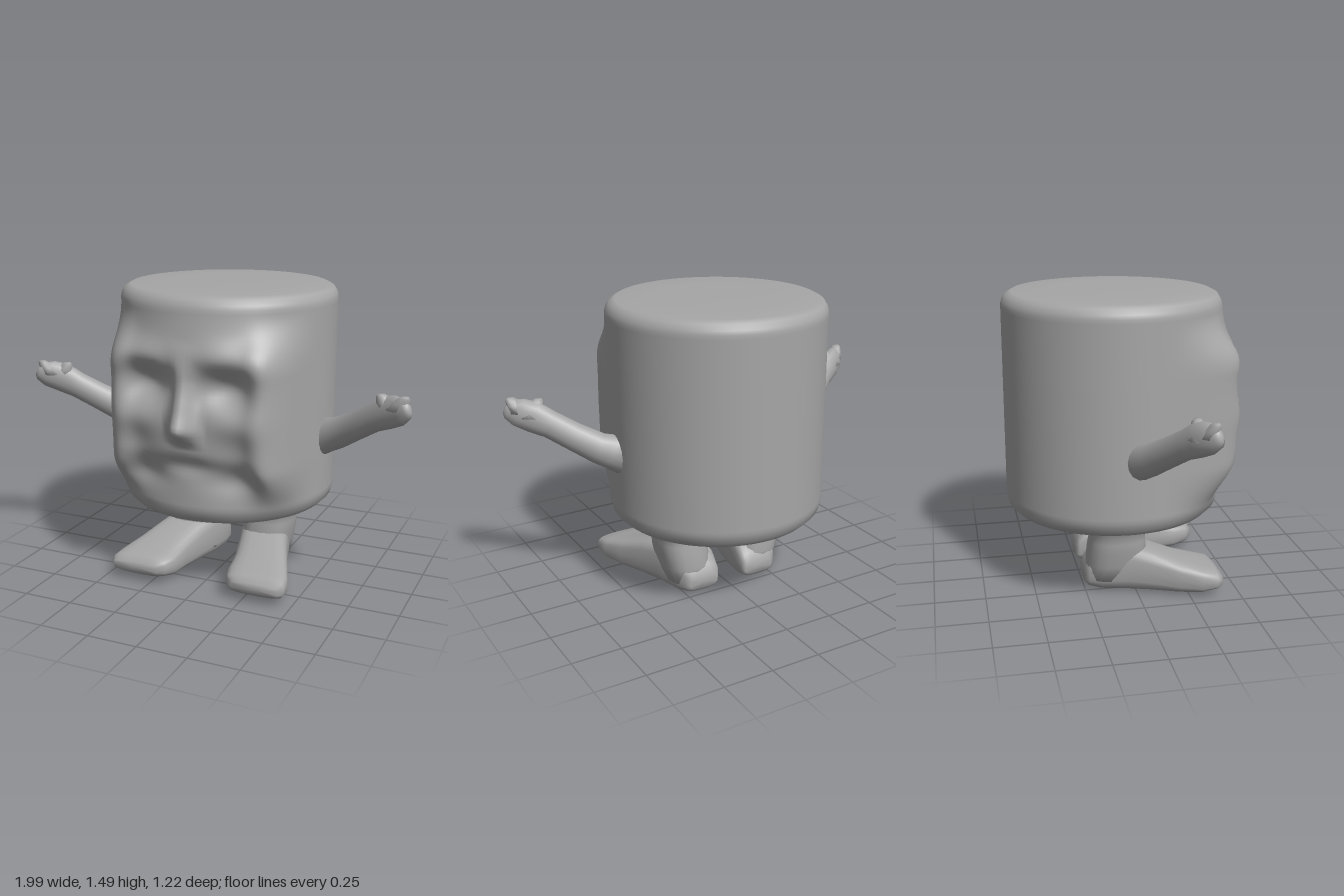
import * as THREE from 'three';
import { mergeVertices } from 'three/addons/utils/BufferGeometryUtils.js';

const V = (x, y, z) => new THREE.Vector3(x, y, z);
const smooth = THREE.MathUtils.smoothstep;
const bump = (x, y, cx, cy, sx, sy) => Math.exp(-(((x - cx) / sx) ** 2) - ((y - cy) / sy) ** 2);

// Piecewise linear lookup in [[y, value], ...]
function lookup(table, y) {
  if (y <= table[0][0]) return table[0][1];
  for (let i = 1; i < table.length; i++) {
    const [y0, a] = table[i - 1], [y1, b] = table[i];
    if (y <= y1) return a + (b - a) * (y - y0) / (y1 - y0);
  }
  return table[table.length - 1][1];
}

// Smooth skin over rings { c: centre, u, v: half axes, e: roundness }, with u x v facing forward
function loft(rings, mirror, n = 20) {
  const pos = [], idx = [], sx = mirror ? -1 : 1;
  const tri = (a, b, c) => (mirror ? idx.push(a, c, b) : idx.push(a, b, c));
  const put = p => pos.push(p.x * sx, p.y, p.z);
  for (const { c, u, v, e = 1 } of rings) {
    for (let j = 0; j < n; j++) {
      const a = j / n * Math.PI * 2, p = t => Math.sign(t) * Math.abs(t) ** e;
      put(c.clone().addScaledVector(u, p(Math.cos(a))).addScaledVector(v, p(Math.sin(a))));
    }
  }
  const last = (rings.length - 1) * n, first = rings.length * n;
  put(rings[0].c);
  put(rings[rings.length - 1].c);
  for (let j = 0; j < n; j++) {
    const k = (j + 1) % n;
    for (let i = 0; i < last; i += n) {
      tri(i + j, i + k, i + n + j);
      tri(i + k, i + n + k, i + n + j);
    }
    tri(first, k, j);
    tri(first + 1, last + j, last + k);
  }
  const g = new THREE.BufferGeometry();
  g.setAttribute('position', new THREE.Float32BufferAttribute(pos, 3));
  g.setIndex(idx);
  g.computeVertexNormals();
  return g;
}

// Nose height and half width by y
const NOSE = [[0.78, 0], [0.83, 0.06], [0.87, 0.125], [0.95, 0.085], [1.05, 0.055], [1.2, 0.015], [1.28, 0]];
const NOSE_WIDTH = [[0.83, 0.095], [0.9, 0.085], [1.1, 0.055], [1.25, 0.09]];

// How far the face stands out of the drum
function faceRelief(x, y) {
  const ax = Math.abs(x);
  const sides = smooth(y, 0.42, 0.68) * (1 - smooth(y, 1.12, 1.4));
  const middle = smooth(y, 0.58, 0.74) * (1 - smooth(y, 1.2, 1.46));
  let d = 0.145 * Math.exp(-(((ax - 0.4) / 0.1) ** 2)) * sides;
  d += 0.03 * middle * (1 - smooth(ax, 0.3, 0.42));
  d += 0.04 * bump(ax, y, 0.23, 1.2, 0.15, 0.07);    // brow
  d -= 0.055 * bump(ax, y, 0.18, 1.06, 0.11, 0.08);  // eye socket
  d += 0.035 * bump(ax, y, 0.25, 0.9, 0.12, 0.09);   // cheek
  d -= 0.03 * bump(x, y, 0, 0.68, 0.14, 0.05);       // mouth
  d -= 0.025 * bump(ax, y, 0.22, 0.62, 0.12, 0.07);  // hollow beside the chin
  d += lookup(NOSE, y) * Math.max(0, 1 - ax / lookup(NOSE_WIDTH, y));
  return d;
}

function bodyGeometry() {
  const pts = [[0, 0.37], [0.3, 0.37], [0.45, 0.375], [0.5, 0.39], [0.53, 0.42]];
  for (let i = 0; i <= 48; i++) pts.push([0.54, 0.46 + i * 0.02]);
  pts.push([0.535, 1.44], [0.52, 1.465], [0.49, 1.48], [0.3, 1.483], [0, 1.485]);
  let g = new THREE.LatheGeometry(pts.map(p => new THREE.Vector2(...p)), 128, Math.PI);
  g.translate(-0.01, 0, -0.07);
  const p = g.attributes.position;
  for (let i = 0; i < p.count; i++) {
    const x = p.getX(i), y = p.getY(i), z = p.getZ(i);
    if (z > 0 && y > 0.42 && y < 1.44) p.setZ(i, z + faceRelief(x, y) * smooth(z, 0.05, 0.22));
  }
  g.deleteAttribute('uv');
  g.deleteAttribute('normal');
  g = mergeVertices(g, 1e-4);
  g.computeVertexNormals();
  return g;
}

// Arm rings: centre, half depth, half height
const ARM = [
  [0.46, 0.735, -0.045, 0.085, 0.1], [0.54, 0.77, -0.015, 0.075, 0.088], [0.6, 0.79, 0.01, 0.066, 0.077],
  [0.7, 0.85, 0.06, 0.062, 0.07], [0.8, 0.915, 0.115, 0.055, 0.068], [0.87, 0.955, 0.145, 0.05, 0.078],
  [0.93, 0.98, 0.18, 0.042, 0.072], [0.97, 0.995, 0.205, 0.03, 0.05], [0.985, 1.0, 0.212, 0.015, 0.025],
];
function armGeometry(mirror) {
  const d = V(0.85, 0.45, 0.38).normalize();
  const up = V(0, 1, 0).addScaledVector(d, -d.y).normalize();
  const side = up.clone().cross(d);
  return loft(ARM.map(([x, y, z, a, b]) => ({
    c: V(x, y, z), u: side.clone().multiplyScalar(a), v: up.clone().multiplyScalar(b),
  })), mirror, 16);
}

// Short digits blending out of the hand: base, tip, radius
const DIGITS = [[0.88, 0.96, 0.145, 0.84, 1.04, 0.15, 0.045], [0.92, 0.98, 0.18, 0.96, 1.05, 0.2, 0.042]];
function digitGeometry([x, y, z, tx, ty, tz, r], mirror) {
  const a = V(x, y, z), b = V(tx, ty, tz);
  return loft([[0, 1.3], [0.5, 1], [0.85, 0.7], [1, 0.4]].map(([t, s]) => ({
    c: a.clone().lerp(b, t), u: V(0, 0, r * s * 0.85), v: V(r * s, 0, 0),
  })), mirror, 10);
}

// Leg rings: y, x, z, half width, half depth
const LEG = [
  [0.06, 0.19, -0.09, 0.12, 0.15], [0.14, 0.2, -0.088, 0.127, 0.152], [0.22, 0.215, -0.086, 0.13, 0.148],
  [0.27, 0.222, -0.085, 0.126, 0.141], [0.31, 0.228, -0.085, 0.122, 0.137], [0.35, 0.23, -0.08, 0.14, 0.15],
  [0.4, 0.23, -0.07, 0.165, 0.18],
];
const legGeometry = mirror => loft(LEG.map(([y, x, z, w, d]) => ({
  c: V(x, y, z), u: V(0, 0, d), v: V(w, 0, 0), e: 0.8,
})), mirror);

// Foot rings: z, x, half width, bottom, top
const FOOT = [
  [-0.25, 0.165, 0.08, 0.035, 0.1], [-0.23, 0.17, 0.1, 0.015, 0.15], [-0.17, 0.18, 0.118, 0, 0.22],
  [-0.05, 0.2, 0.133, 0, 0.25], [0.07, 0.235, 0.135, 0, 0.22], [0.2, 0.275, 0.145, 0, 0.175],
  [0.31, 0.3, 0.16, 0.01, 0.145], [0.38, 0.315, 0.152, 0.03, 0.13], [0.41, 0.325, 0.125, 0.05, 0.105],
];
const footGeometry = mirror => loft(FOOT.map(([z, x, w, lo, hi]) => ({
  c: V(x, (lo + hi) / 2, z), u: V(w, 0, 0), v: V(0, (hi - lo) / 2, 0), e: 0.6,
})), mirror, 24);

export function createModel() {
  const model = new THREE.Group();
  model.name = 'drumFigure';
  const grey = new THREE.MeshStandardMaterial({ color: 0xa6a6a6 });
  grey.name = 'grey';
  const add = (name, geometry) => {
    const mesh = new THREE.Mesh(geometry, grey);
    mesh.name = name;
    model.add(mesh);
  };
  add('body', bodyGeometry());
  for (const [side, mirror] of [['left', false], ['right', true]]) {
    add(side + 'Arm', armGeometry(mirror));
    DIGITS.forEach((d, i) => add(side + ['Thumb', 'Finger'][i], digitGeometry(d, mirror)));
    add(side + 'Leg', legGeometry(mirror));
    add(side + 'Foot', footGeometry(mirror));
  }
  return model;
}
